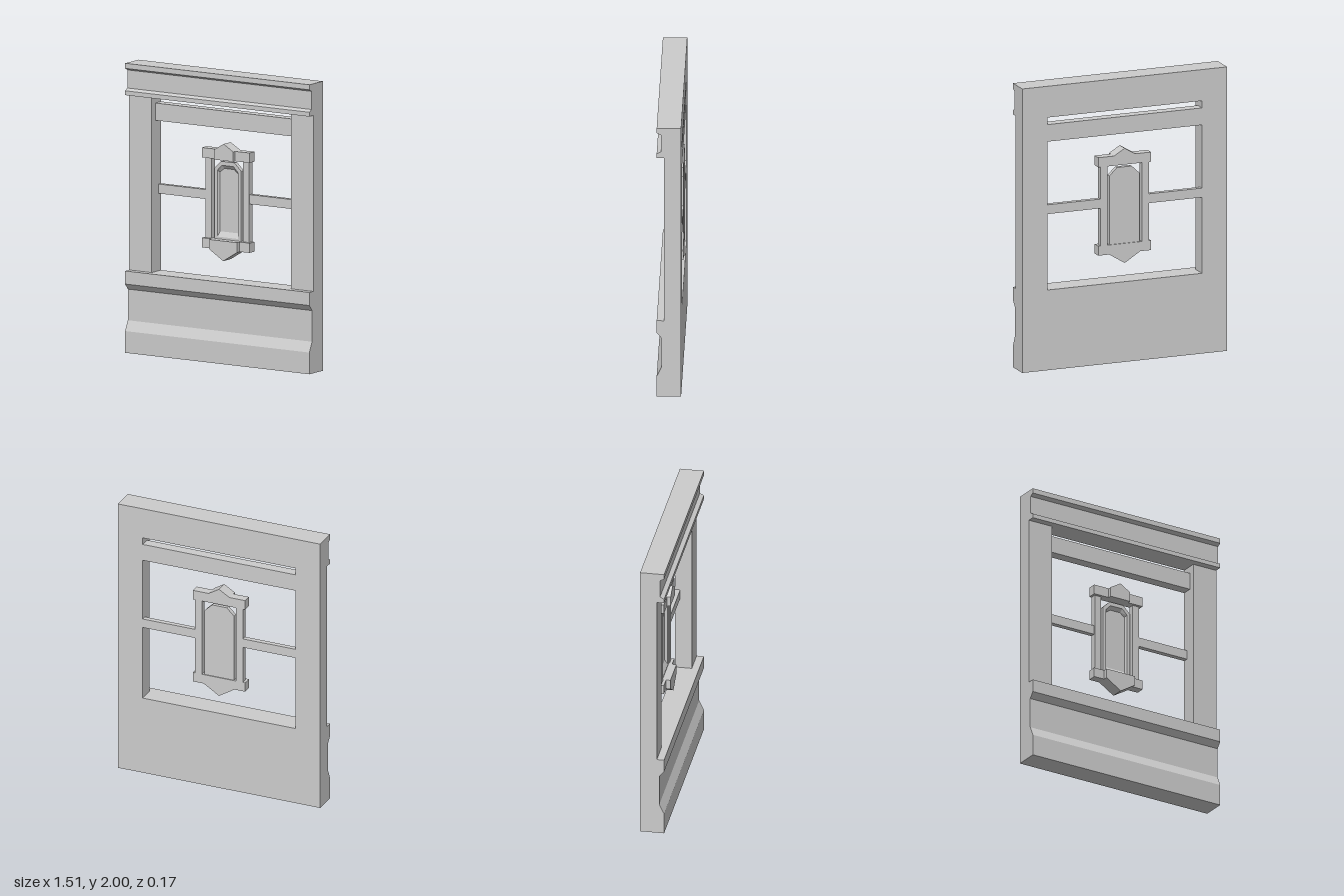
import * as THREE from 'three';

const BACK = -0.083;

export function createModel() {
  const group = new THREE.Group();
  const material = new THREE.MeshStandardMaterial({ color: 0xcccccc, flatShading: true });

  function add(name, geometry) {
    const mesh = new THREE.Mesh(geometry, material);
    mesh.name = name;
    group.add(mesh);
    return mesh;
  }
  const box = (name, x0, x1, y0, y1, z1, z0 = BACK) =>
    add(name, new THREE.BoxGeometry(x1 - x0, y1 - y0, z1 - z0)
      .translate((x0 + x1) / 2, (y0 + y1) / 2, (z0 + z1) / 2));

  // Outline drawn in x/y, extruded forward from z0 to z1
  const slab = (name, points, z0, z1) => {
    const shape = new THREE.Shape(points.map(p => new THREE.Vector2(...p)));
    return add(name, new THREE.ExtrudeGeometry(shape, { depth: z1 - z0, bevelEnabled: false })
      .translate(0, 0, z0));
  };

  // Moulding profile given as [z, y], swept across the full width
  const moulding = (name, profile) => {
    const shape = new THREE.Shape(profile.map(([z, y]) => new THREE.Vector2(-z, y)));
    return add(name, new THREE.ExtrudeGeometry(shape, { depth: 1.51, bevelEnabled: false })
      .rotateY(Math.PI / 2).translate(-0.755, 0, 0));
  };

  // Wall below and above the opening
  moulding('lowerWall', [[BACK, 0], [0.083, 0], [0.083, 0.15], [0.05, 0.22], [0.05, 0.435],
    [0.083, 0.475], [0.083, 0.565], [BACK, 0.565]]);
  moulding('cornice', [[BACK, 1.78], [0.083, 1.78], [0.083, 1.81], [0.055, 1.825],
    [0.055, 1.95], [0.083, 1.965], [0.083, 2], [BACK, 2]]);

  // Rail under the cornice
  box('upperRail', -0.57, 0.57, 1.61, 1.73, -0.01);

  // Stiles, crossbars and the posts of the central frame
  for (const s of [-1, 1]) {
    const side = s < 0 ? 'right' : 'left';
    const pair = (name, a, b, y0, y1, z) =>
      box(side + name, Math.min(s * a, s * b), Math.max(s * a, s * b), y0, y1, z);
    pair('Stile', 0.57, 0.755, 0.565, 1.78, 0.033);
    pair('Crossbar', 0.178, 0.57, 1.1, 1.165, -0.047);
    pair('Post', 0.128, 0.178, 0.835, 1.39, -0.04);
    pair('LintelBlock', 0.078, 0.195, 1.39, 1.458, -0.02);
    pair('SillBlock', 0.115, 0.195, 0.768, 0.835, -0.02);
  }

  // Pointed blocks at head and foot
  slab('keystone', [[-0.078, 1.39], [0.078, 1.39], [0.078, 1.458], [0, 1.505], [-0.078, 1.458]],
    BACK, 0.005);
  slab('pointedSill', [[-0.115, 0.835], [-0.115, 0.768], [0, 0.697], [0.115, 0.768], [0.115, 0.835]],
    BACK, 0.01);

  // Clipped-corner panel: nested loops from back edge to sunken field
  const ring = (w, y0, yShoulder, wTop, yTop, z) =>
    [[-w, y0], [w, y0], [w, yShoulder], [wTop, yTop], [-wTop, yTop], [-w, yShoulder]]
      .map(([x, y]) => [x, y, z]);
  const rings = [
    ring(0.11, 0.83, 1.32, 0.055, 1.373, -0.077),
    ring(0.11, 0.83, 1.32, 0.055, 1.373, -0.045),
    ring(0.085, 0.85, 1.308, 0.048, 1.346, -0.045),
    ring(0.075, 0.885, 1.295, 0.04, 1.322, -0.064),
  ];
  const index = [];
  for (let r = 0; r < rings.length - 1; r++) {
    for (let i = 0; i < 6; i++) {
      const a = r * 6 + i, b = r * 6 + (i + 1) % 6;
      index.push(a, b, b + 6, a, b + 6, a + 6);
    }
  }
  const last = (rings.length - 1) * 6;
  for (let i = 1; i < 5; i++) {
    index.push(0, i + 1, i); // back face
    index.push(last, last + i, last + i + 1); // sunken field
  }
  const panel = new THREE.BufferGeometry();
  panel.setAttribute('position', new THREE.Float32BufferAttribute(rings.flat(2), 3));
  panel.setIndex(index);
  const flat = panel.toNonIndexed();
  flat.computeVertexNormals();
  add('sunkenPanel', flat);

  return group;
}
